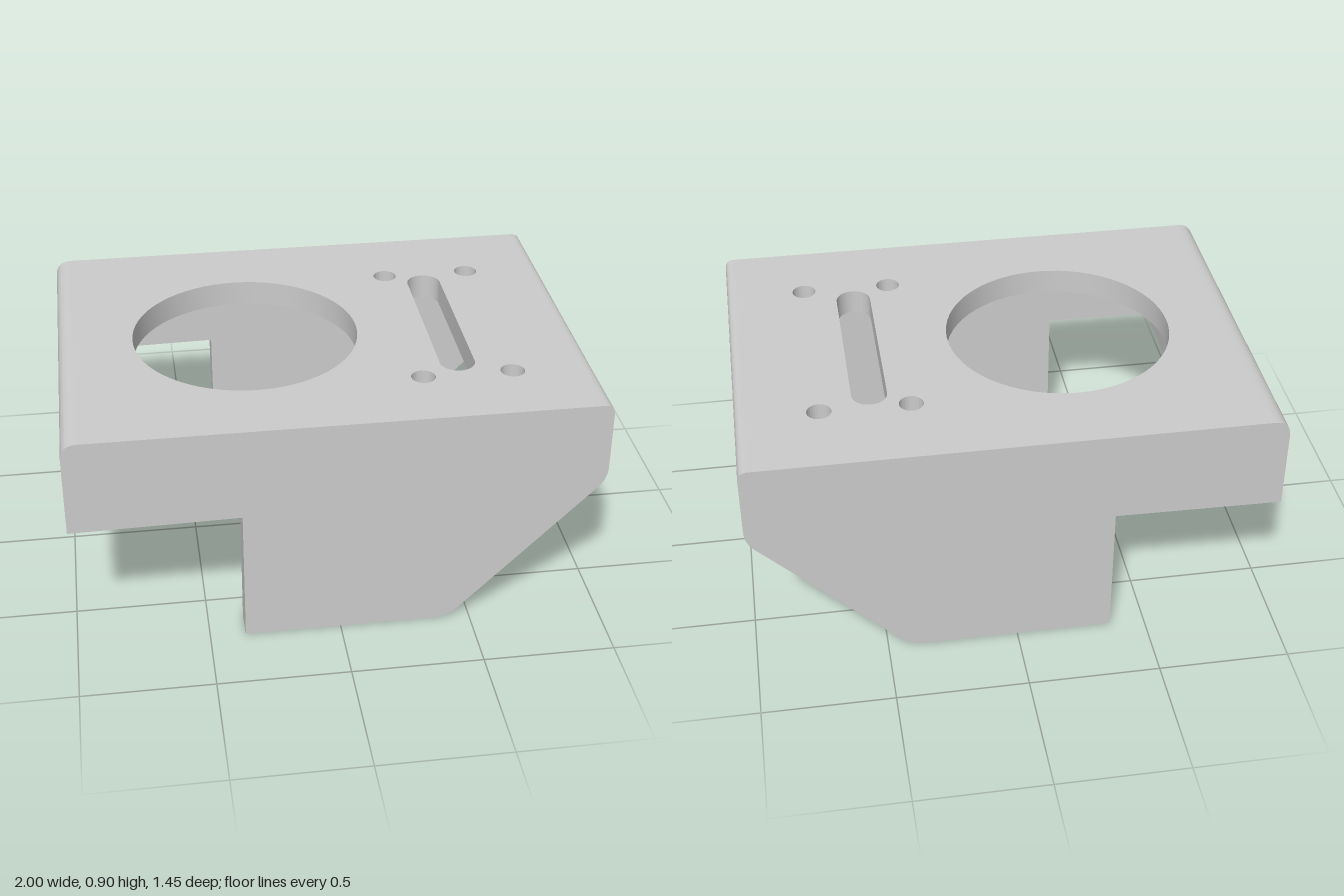
import * as THREE from 'three';
import { toCreasedNormals } from 'three/addons/utils/BufferGeometryUtils.js';

const TOP = 0.905, PLATE = 0.1, HALF = 0.727, INNER = 0.62;
const WALL_X = -0.8, LIP_X = 0.95;

export function createModel() {
  const group = new THREE.Group();
  group.name = 'bracket';
  const material = new THREE.MeshStandardMaterial({ color: 0xcccccc });

  const extrude = (shape, depth) => toCreasedNormals(
    new THREE.ExtrudeGeometry(shape, { depth, bevelEnabled: false, curveSegments: 32 }), 0.6);
  const add = (name, geometry) => {
    const mesh = new THREE.Mesh(geometry, material);
    mesh.name = name;
    group.add(mesh);
  };

  // Polygon whose corners [x, y, radius] are rounded off
  const rounded = (points) => {
    const shape = new THREE.Shape();
    points.forEach(([x, y, r = 0], i) => {
      const p = new THREE.Vector2(x, y);
      const n = points.length;
      const towards = (q) => new THREE.Vector2(q[0], q[1]).sub(p).setLength(r).add(p);
      const a = r ? towards(points[(i + n - 1) % n]) : p;
      if (i === 0) shape.moveTo(a.x, a.y);
      else shape.lineTo(a.x, a.y);
      if (r) {
        const b = towards(points[(i + 1) % n]);
        shape.quadraticCurveTo(x, y, b.x, b.y);
      }
    });
    shape.closePath();
    return shape;
  };

  // Side plates with the leg and the slanted edge
  const side = rounded([
    [-1, 0.53], [-0.365, 0.54], [-0.365, 0], [0.415, 0, 0.06],
    [1, 0.585, 0.05], [1, TOP, 0.04], [-1, TOP, 0.065],
  ]);
  for (const [name, z] of [['frontSidePlate', INNER], ['backSidePlate', -HALF]]) {
    add(name, extrude(side, HALF - INNER).translate(0, 0, z));
  }

  // End wall and the rounded lip of the open end, spanning between the side plates
  const endWall = rounded([[-1, 0.53], [WALL_X, 0.53], [WALL_X, TOP], [-1, TOP, 0.065]]);
  add('endWall', extrude(endWall, 2 * INNER).translate(0, 0, -INNER));
  const lip = rounded([[LIP_X, TOP - PLATE], [1, TOP - PLATE], [1, TOP, 0.04], [LIP_X, TOP]]);
  add('openEndLip', extrude(lip, 2 * INNER).translate(0, 0, -INNER));

  // Top plate, drawn in x and z, with its bore, slot and screw holes
  const plate = rounded([[WALL_X, -INNER], [LIP_X, -INNER], [LIP_X, INNER], [WALL_X, INNER]]);
  const hole = (x, z, r) => plate.holes.push(new THREE.Path().absarc(x, z, r, 0, Math.PI * 2, true));
  hole(-0.274, 0.005, 0.437);
  for (const x of [0.35, 0.69]) for (const z of [-0.405, 0.43]) hole(x, z, 0.046);
  const slot = new THREE.Path();
  slot.absarc(0.498, 0.337, 0.067, 0, Math.PI, false);
  slot.absarc(0.498, -0.323, 0.067, Math.PI, Math.PI * 2, false);
  slot.closePath();
  plate.holes.push(slot);
  add('topPlate', extrude(plate, PLATE).rotateX(Math.PI / 2).translate(0, TOP, 0));

  return group;
}
